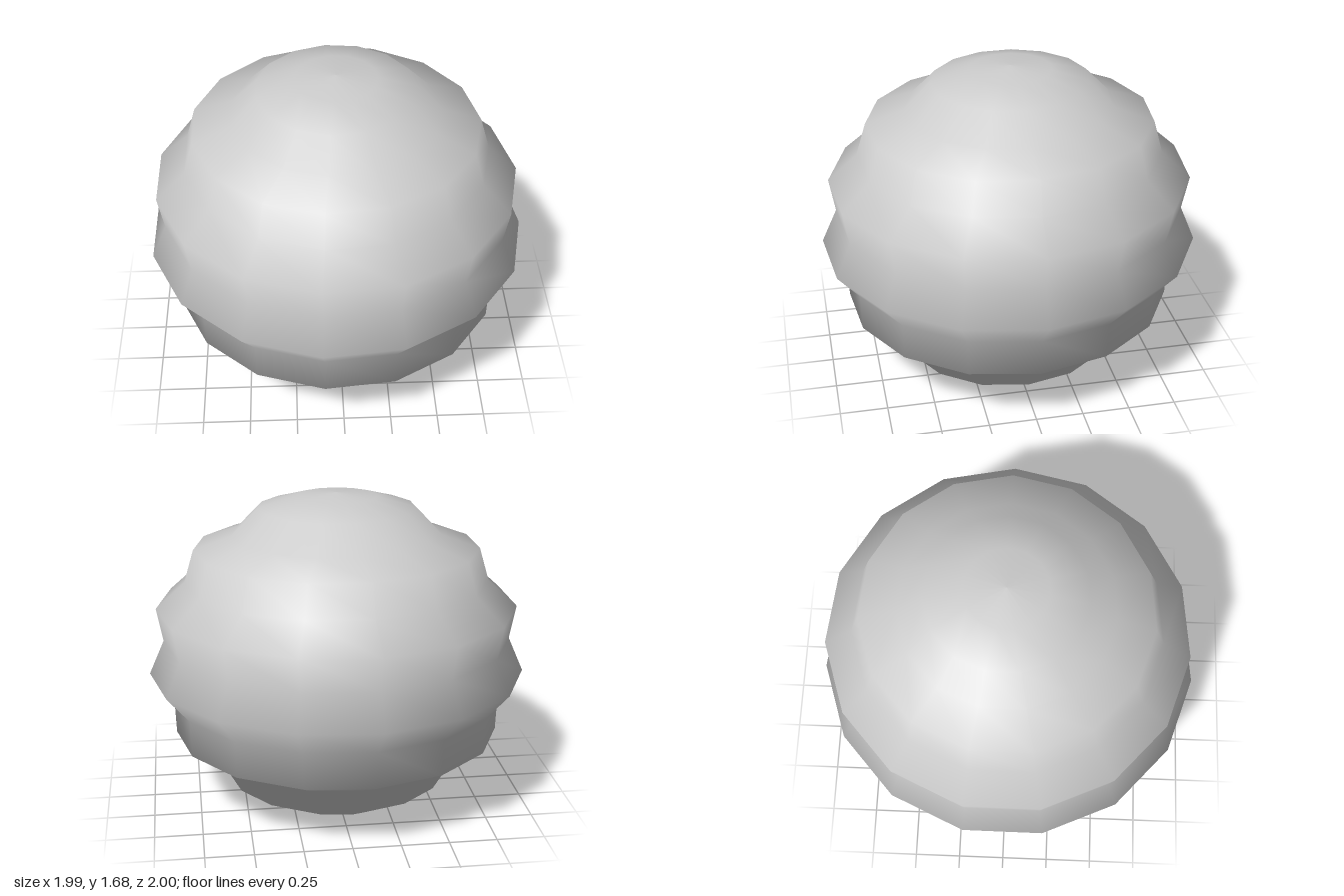
import * as THREE from 'three';

export function createModel() {
  const group = new THREE.Group();
  group.name = 'ridgedDome';

  // Ridged profile from the open base to the closed crown: [radius, height]
  const profile = [
    [0.411, 0.006], [0.595, 0.105], [0.695, 0.28], [0.875, 0.372], [0.882, 0.57],
    [1.005, 0.718], [0.925, 0.9], [0.958, 1.08], [0.803, 1.22], [0.752, 1.393],
    [0.553, 1.462], [0.414, 1.605], [0.215, 1.661], [0, 1.68],
  ].map(([r, y]) => new THREE.Vector2(r, y));

  // Fifteen-sided shell with one corner on +x
  const geometry = new THREE.LatheGeometry(profile, 15, Math.PI / 2);

  // Slight lean: the front sits a little lower and the crown drifts backwards
  const k = 0.0145;
  geometry.applyMatrix4(new THREE.Matrix4().set(
    1, 0, 0, -0.011,
    0, 1, -k, 0,
    0, -k, 1, k * 0.718,
    0, 0, 0, 1,
  ));

  const shell = new THREE.Mesh(
    geometry,
    new THREE.MeshStandardMaterial({ color: 0xcccccc, side: THREE.DoubleSide }),
  );
  shell.name = 'shell';
  group.add(shell);
  return group;
}
